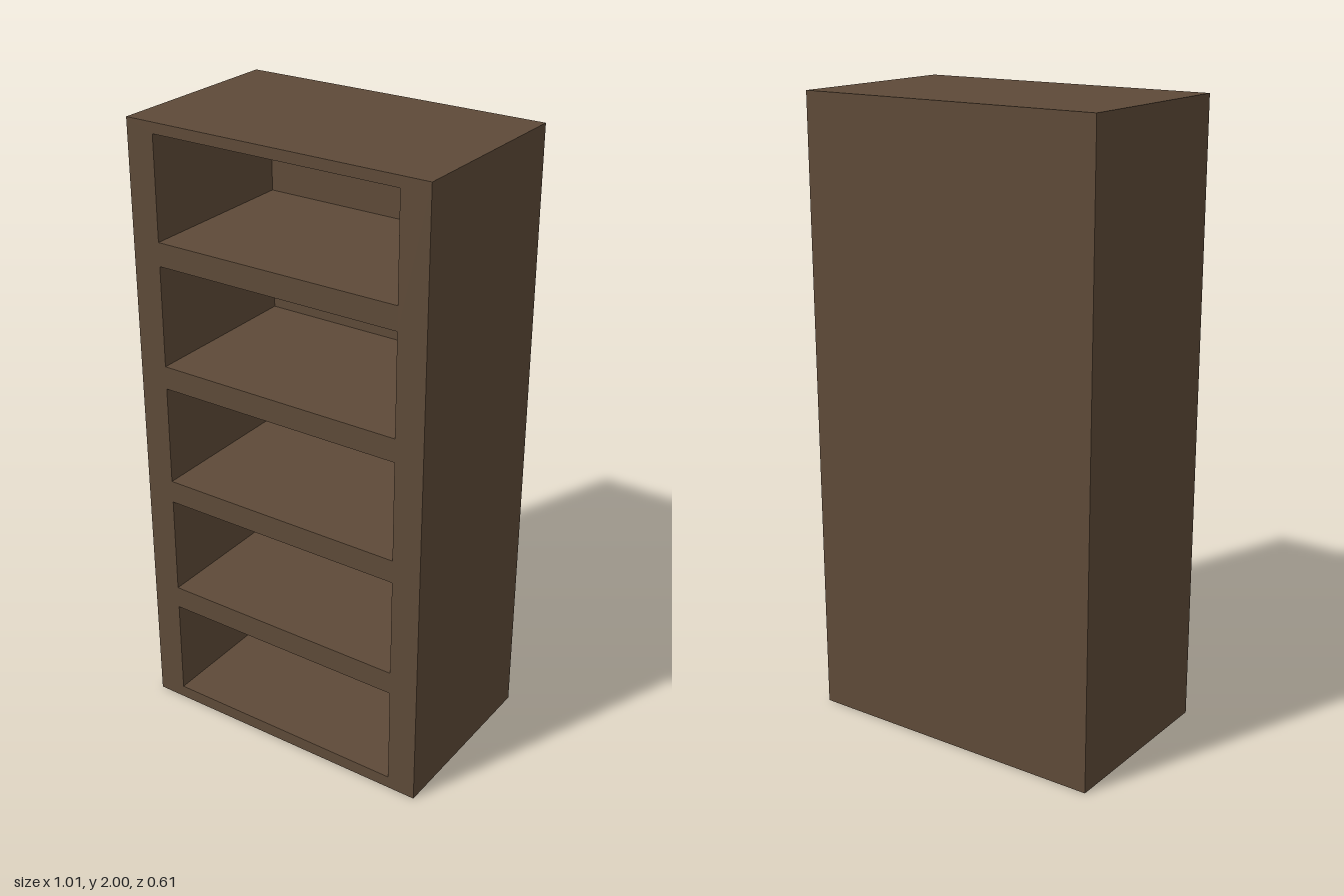
import * as THREE from 'three';

const W = 1.01, H = 2, D = 0.614;             // cabinet size
const NICHE = { w: 0.822, h: 0.325, d: 0.56, first: 0.041, pitch: 0.4, count: 5 };

// Box with its +z side left open
function openBox(w, h, d) {
  const geo = new THREE.BoxGeometry(w, h, d);
  const index = Array.from(geo.index.array);
  index.splice(24, 6);
  geo.setIndex(index);
  geo.clearGroups();
  return geo;
}

// Rectangle centred on x, rising from y
function rectangle(Type, w, y, h) {
  return new Type([
    new THREE.Vector2(-w / 2, y),
    new THREE.Vector2(w / 2, y),
    new THREE.Vector2(w / 2, y + h),
    new THREE.Vector2(-w / 2, y + h),
  ]);
}

export function createModel() {
  const group = new THREE.Group();
  group.name = 'bookcase';
  const wood = new THREE.MeshStandardMaterial({ color: 0x5e4a38 });
  const innerWood = new THREE.MeshStandardMaterial({ color: 0x5e4a38, side: THREE.DoubleSide });

  const add = (name, geometry, material, y, z) => {
    const mesh = new THREE.Mesh(geometry, material);
    mesh.name = name;
    mesh.position.set(0, y, z);
    group.add(mesh);
  };

  // Outer walls, top, bottom and back
  add('carcass', openBox(W, H, D), wood, H / 2, 0);

  // Front frame pierced by the openings, with a recessed compartment behind each
  const front = rectangle(THREE.Shape, W, 0, H);
  for (let i = 0; i < NICHE.count; i++) {
    const y = NICHE.first + i * NICHE.pitch;
    front.holes.push(rectangle(THREE.Path, NICHE.w, y, NICHE.h));
    add(`compartment${i + 1}`, openBox(NICHE.w, NICHE.h, NICHE.d), innerWood,
      y + NICHE.h / 2, D / 2 - NICHE.d / 2);
  }
  add('frontFrame', new THREE.ShapeGeometry(front), wood, 0, D / 2);

  return group;
}
